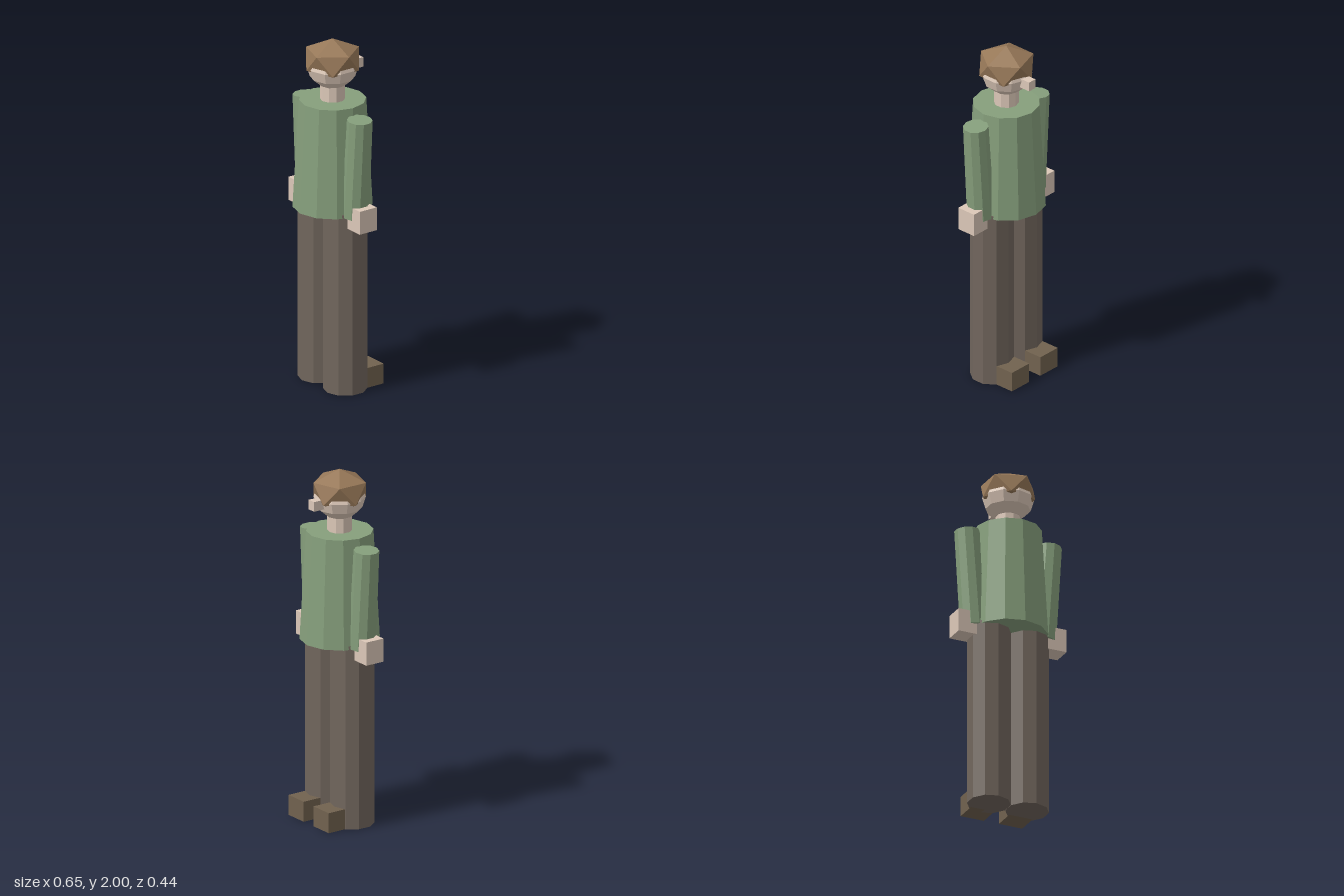
import * as THREE from 'three';

const material = (color) => new THREE.MeshStandardMaterial({ color, flatShading: true });

export function createModel() {
  const skin = material(0xdcc8b8);
  const green = material(0x869f7c);
  const trousers = material(0x71665d);
  const leather = material(0x71624f);
  const brown = material(0x977858);

  const model = new THREE.Group();
  model.name = 'figure';

  const add = (name, geometry, mat, x = 0, y = 0, z = 0) => {
    const mesh = new THREE.Mesh(geometry, mat);
    mesh.name = name;
    mesh.position.set(x, y, z);
    model.add(mesh);
    return mesh;
  };

  // Torso and neck
  add('torso', new THREE.CylinderGeometry(0.184, 0.219, 0.62, 12), green, 0, 1.34);
  add('neck', new THREE.CylinderGeometry(0.068, 0.068, 0.16, 10), skin, 0, 1.69);

  // Head: slightly squashed faceted ball
  const headShape = new THREE.SphereGeometry(0.142, 10, 6);
  headShape.rotateY(Math.PI / 2).scale(1, 0.85, 1);
  add('head', headShape, skin, 0, 1.84);
  add('nose', new THREE.BoxGeometry(0.05, 0.055, 0.075), skin, 0, 1.826, -0.152);

  // Hair: flattened icosahedron standing on a corner
  const hairShape = new THREE.IcosahedronGeometry(0.168, 0);
  hairShape.rotateX(-Math.atan((1 + Math.sqrt(5)) / 2)).rotateY(Math.PI / 2).scale(1, 0.7, 1);
  add('hair', hairShape, brown, 0, 1.882);

  // Paired limbs; the figure's toes and nose point to -z
  for (const side of [-1, 1]) {
    const label = side > 0 ? 'left' : 'right';

    const arm = add(label + 'Arm', new THREE.CylinderGeometry(0.07, 0.075, 0.57, 10), green, side * 0.227, 1.318);
    arm.rotation.z = -side * 0.07;
    add(label + 'Hand', new THREE.BoxGeometry(0.115, 0.133, 0.115), skin, side * 0.267, 1.038);

    add(label + 'Leg', new THREE.CylinderGeometry(0.12, 0.12, 1.05, 10), trousers, side * 0.115, 0.525);
    add(label + 'Foot', new THREE.BoxGeometry(0.14, 0.115, 0.13), leather, side * 0.115, 0.0575, -0.143);
  }

  return model;
}
